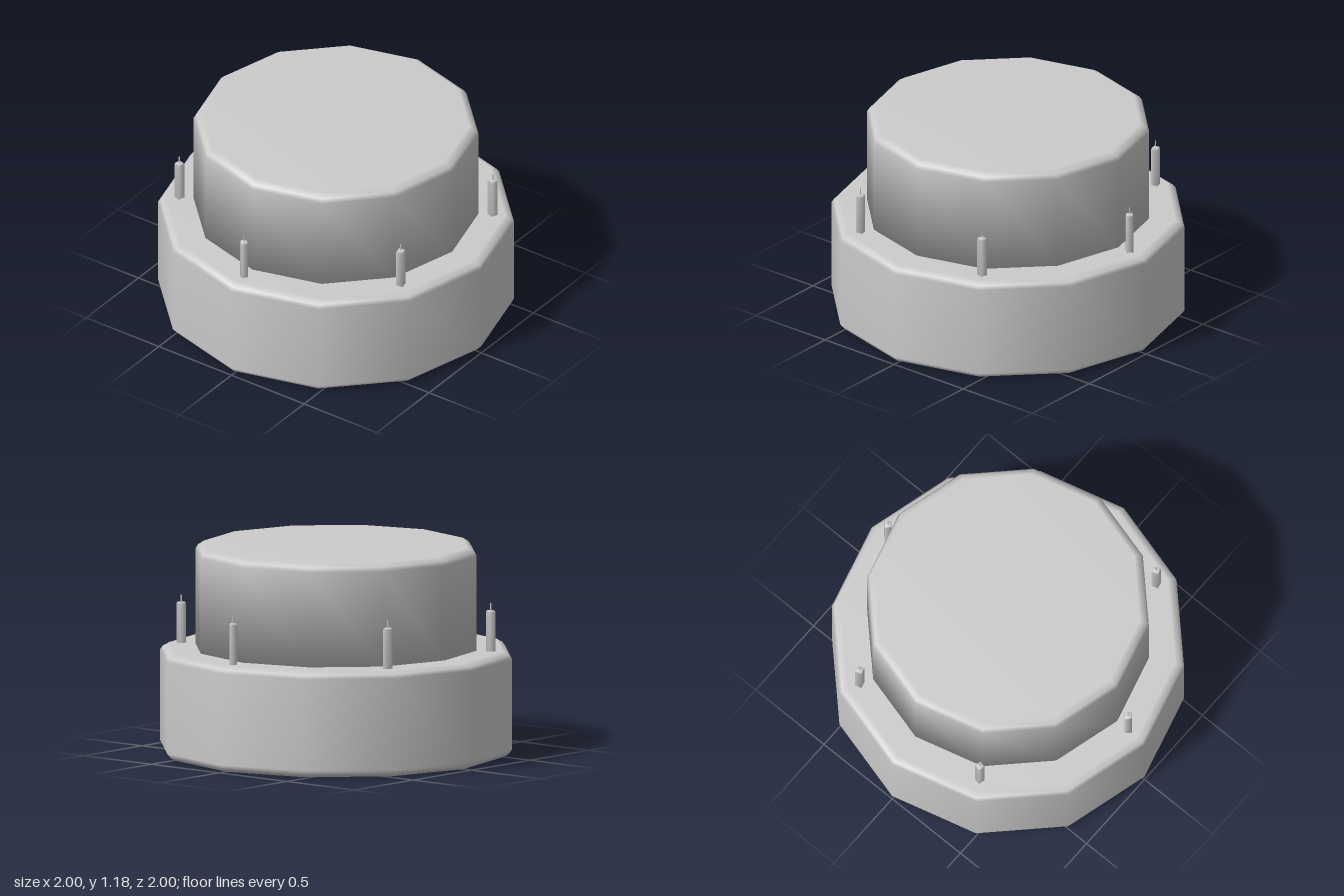
import * as THREE from 'three';

const grey = new THREE.MeshStandardMaterial({ color: 0xcccccc });

// Smooth lathe from [radius, height] pairs, listed bottom to top
function turned(name, profile, sides) {
  const points = profile.map(([r, y]) => new THREE.Vector2(r, y));
  const mesh = new THREE.Mesh(new THREE.LatheGeometry(points, sides), grey);
  mesh.name = name;
  return mesh;
}

export function createModel() {
  const cake = new THREE.Group();
  cake.name = 'tieredCake';

  // Twelve-sided tiers with bevelled rims
  cake.add(turned('lowerTier', [
    [0, 0], [0.94, 0], [0.975, 0.015], [1, 0.045],
    [1, 0.56], [0.985, 0.58], [0.95, 0.6], [0, 0.6],
  ], 12));
  cake.add(turned('upperTier', [
    [0, 0.59], [0.8, 0.59], [0.8, 1.135], [0.785, 1.158], [0.75, 1.18], [0, 1.18],
  ], 12));

  // Ring of six square candles, each with a corner facing outward
  for (let i = 0; i < 6; i++) {
    const candle = new THREE.Group();
    candle.name = 'candle' + (i + 1);
    candle.add(turned('candleStick', [
      [0, 0.59], [0.028, 0.59], [0.028, 0.82], [0.022, 0.83], [0, 0.83],
    ], 4));
    candle.add(turned('wick', [[0.004, 0.82], [0.004, 0.87], [0, 0.872]], 4));
    const angle = i * Math.PI / 3;
    candle.position.set(Math.sin(angle) * 0.88, 0, Math.cos(angle) * 0.88);
    candle.rotation.y = angle;
    cake.add(candle);
  }
  return cake;
}
